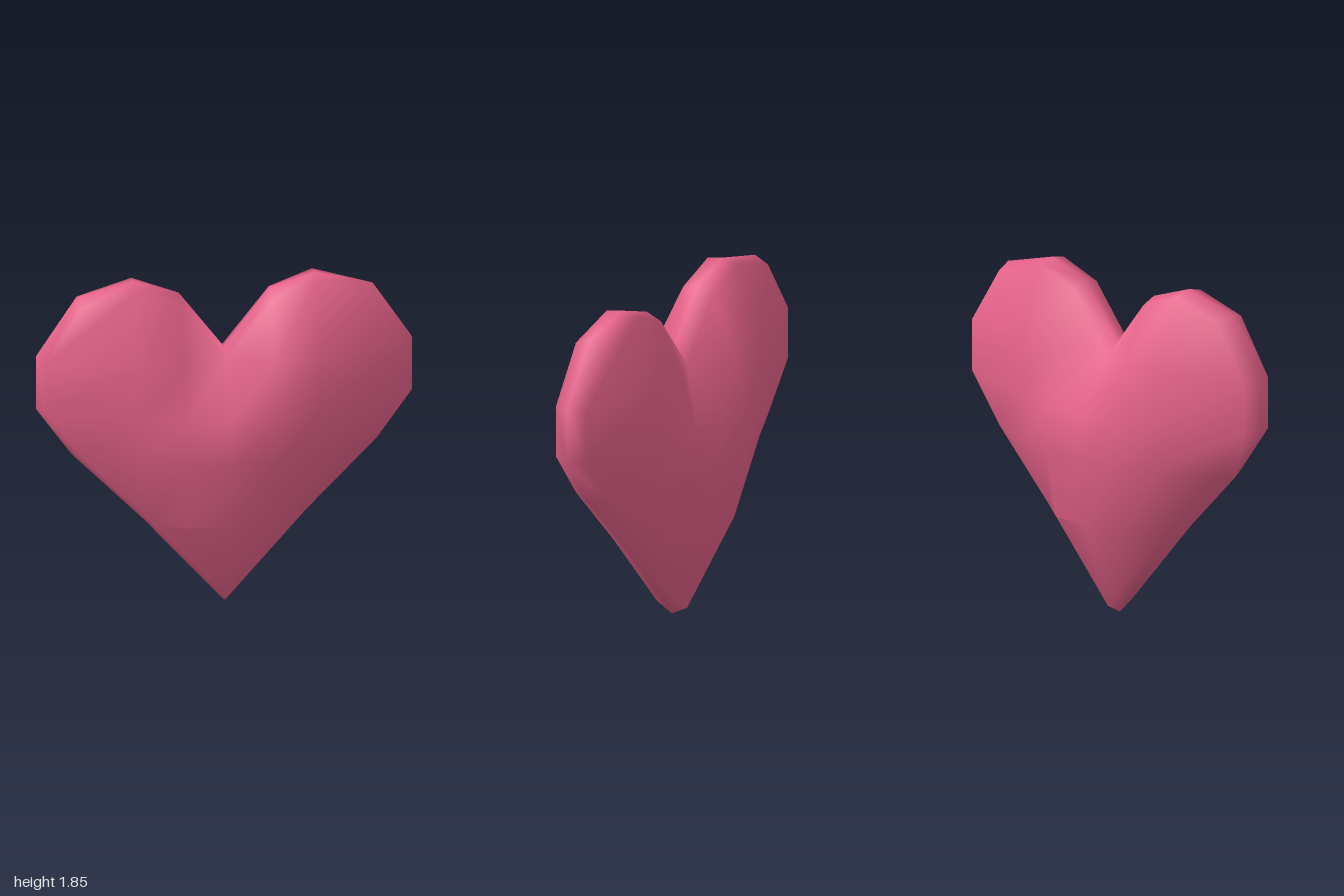
import * as THREE from 'three';
import { mergeVertices } from 'three/addons/utils/BufferGeometryUtils.js';

// Right half of the outline, from the bottom tip round to the notch
const outline = [
  [0, 0], [0.43, 0.49], [0.81, 0.88], [1, 1.15], [1, 1.45],
  [0.79, 1.77], [0.48, 1.85], [0.24, 1.77], [0, 1.45],
];
// The same loop drawn in a little, on the bevelled rim
const rim = [
  [0, 0.05], [0.41, 0.52], [0.77, 0.9], [0.96, 1.16], [0.96, 1.44],
  [0.77, 1.74], [0.48, 1.83], [0.25, 1.74], [0, 1.42],
];
const RIM_Z = 0.095;

// Puffed centre: rows a (low) to d (through the lobes), numbered from the middle outwards
const puff = {
  a0: [0, 0.52, 0.27], a1: [0.24, 0.52, 0.235],
  b0: [0, 0.9, 0.32], b1: [0.24, 0.9, 0.32], b2: [0.48, 0.9, 0.235],
  c0: [0, 1.15, 0.32], c1: [0.24, 1.15, 0.32], c2: [0.48, 1.15, 0.235],
  d1: [0.24, 1.45, 0.235], d2: [0.48, 1.45, 0.235],
};

// Faces of the front right quarter; r is a rim point, o an outline point
const faces = [
  'r0 r1 a1 a0', 'a0 a1 b1 b0', 'a1 r1 b2 b1', 'r1 r2 b2',
  'b0 b1 c1 c0', 'b1 b2 c2 c1', 'b2 r2 r3 c2', 'c2 r3 r4 d2',
  'c1 c2 d2 d1', 'c0 c1 d1 r8', 'd1 d2 r6 r7', 'd2 r4 r5 r6', 'r8 d1 r7',
];
for (let i = 0; i < 8; i++) faces.push(`o${i} o${i + 1} r${i + 1} r${i}`);

function heartGeometry() {
  const points = { ...puff };
  outline.forEach(([x, y], i) => { points['o' + i] = [x, y, 0]; });
  rim.forEach(([x, y], i) => { points['r' + i] = [x, y, RIM_Z]; });

  // Mirror the quarter left to right and front to back
  const positions = [];
  for (const sx of [1, -1]) {
    for (const sz of [1, -1]) {
      for (const face of faces) {
        const corners = face.split(' ').map((name) => {
          const [x, y, z] = points[name];
          return [x && x * sx, y, z && z * sz];
        });
        if (sx * sz < 0) corners.reverse();
        for (let i = 1; i < corners.length - 1; i++) {
          positions.push(...corners[0], ...corners[i], ...corners[i + 1]);
        }
      }
    }
  }
  const geometry = new THREE.BufferGeometry();
  geometry.setAttribute('position', new THREE.Float32BufferAttribute(positions, 3));
  // Shared corners give smooth normals across the whole surface
  const smooth = mergeVertices(geometry);
  smooth.computeVertexNormals();
  return smooth;
}

export function createModel() {
  const group = new THREE.Group();
  group.name = 'heartModel';
  const heart = new THREE.Mesh(
    heartGeometry(),
    new THREE.MeshStandardMaterial({ color: 0xe6628a }),
  );
  heart.name = 'heart';
  group.add(heart);
  return group;
}
